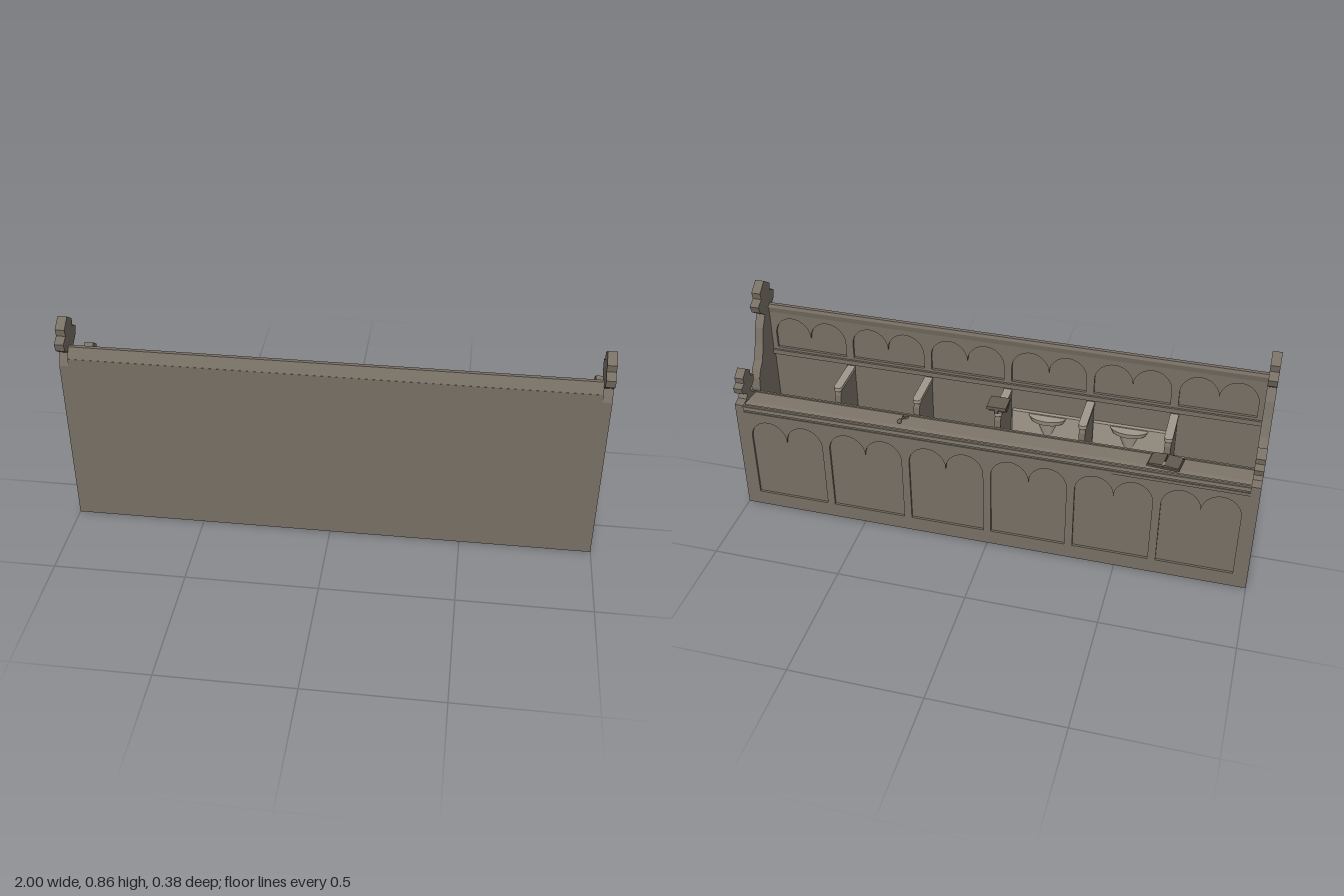
import * as THREE from 'three';

const mat = (name, color) => {
  const m = new THREE.MeshStandardMaterial({ color });
  m.name = name;
  return m;
};

export function createModel() {
  const model = new THREE.Group();
  model.name = 'choirStall';
  const dark = mat('dark oak', 0x776f64);
  const mid = mat('desk oak', 0x82796d);
  const light = mat('light oak', 0xa0978a);
  const leather = mat('dark leather', 0x655d52);

  const add = (name, geo, material, parent = model) => {
    const mesh = new THREE.Mesh(geo, material);
    mesh.name = name;
    parent.add(mesh);
    return mesh;
  };
  // box given by its limits on each axis
  const box = (name, x0, x1, y0, y1, z0, z1, material = dark, parent = model) => {
    const m = add(name, new THREE.BoxGeometry(x1 - x0, y1 - y0, z1 - z0), material, parent);
    m.position.set((x0 + x1) / 2, (y0 + y1) / 2, (z0 + z1) / 2);
    return m;
  };
  // profile of [z, y] points extruded along x
  const profile = (name, pts, x0, x1, material = dark) => {
    const shape = new THREE.Shape(pts.map(p => new THREE.Vector2(p[0], p[1])));
    const geo = new THREE.ExtrudeGeometry(shape, { depth: x1 - x0, bevelEnabled: false });
    geo.rotateY(-Math.PI / 2).translate(x1, 0, 0);
    return add(name, geo, material);
  };

  const bays = [-0.8, -0.48, -0.16, 0.16, 0.48, 0.8];
  const W = 0.966;

  // frame pierced by one twin-arched opening per bay
  const archedFrame = (name, y0, y1, bottom, spring, rise, z0, z1) => {
    const shape = new THREE.Shape([[-W, y0], [W, y0], [W, y1], [-W, y1]].map(p => new THREE.Vector2(...p)));
    const w = 0.145;
    for (const c of bays) {
      const hole = new THREE.Path();
      hole.moveTo(c - w, bottom);
      hole.lineTo(c + w, bottom);
      hole.lineTo(c + w, spring);
      hole.absellipse(c + w / 2, spring, w / 2, rise, 0, Math.PI, false, 0);
      hole.absellipse(c - w / 2, spring, w / 2, rise, 0, Math.PI, false, 0);
      hole.closePath();
      shape.holes.push(hole);
    }
    const geo = new THREE.ExtrudeGeometry(shape, { depth: z1 - z0, bevelEnabled: false, curveSegments: 10 });
    add(name, geo.translate(0, 0, z0), dark);
  };

  // end panels with leaf finials
  const tallEnd = [
    [0.167, 0], [0.167, 0.68], [0.157, 0.702], [0.145, 0.725], [0.182, 0.752], [0.19, 0.783],
    [0.156, 0.8], [0.161, 0.828], [0.116, 0.86], [0.07, 0.828], [0.076, 0.8], [0.041, 0.783],
    [0.053, 0.752], [0.09, 0.725], [0.06, 0.68], [0.044, 0.62], [0.018, 0.555], [-0.008, 0.53],
    [-0.024, 0.502], [-0.03, 0.455], [-0.02, 0.403], [-0.02, 0]];
  const lowEnd = [
    [-0.057, 0], [-0.057, 0.43], [-0.069, 0.475], [-0.098, 0.488], [-0.109, 0.503], [-0.075, 0.525],
    [-0.069, 0.551], [-0.096, 0.561], [-0.091, 0.585], [-0.124, 0.61], [-0.158, 0.585], [-0.154, 0.561],
    [-0.18, 0.551], [-0.173, 0.525], [-0.139, 0.503], [-0.152, 0.488], [-0.185, 0.48], [-0.185, 0]];
  for (const [a, b] of [[-1, -0.965], [0.965, 1]]) {
    profile('stallEnd', tallEnd, a, b);
    profile('deskEnd', lowEnd, a, b);
  }

  // floor and backrest
  box('floor', -W, W, 0, 0.004, -0.18, 0.167);
  box('backBoard', -W, W, 0, 0.71, 0.14, 0.167);
  profile('backTopRail', [[0.167, 0.7], [0.167, 0.708], [0.145, 0.75], [0.13, 0.75], [0.125, 0.738], [0.13, 0.715], [0.145, 0.7]], -W, W);
  archedFrame('backTracery', 0.54, 0.725, 0.556, 0.618, 0.077, 0.13, 0.145);
  box('backMidRail', -W, W, 0.525, 0.545, 0.122, 0.141);

  // seat dividers with armrests
  const divider = [
    [0.14, 0], [0.14, 0.5], [-0.012, 0.5], [-0.026, 0.478], [-0.028, 0.45], [-0.018, 0.42],
    [0.006, 0.39], [0.012, 0.33], [0.002, 0.27], [-0.02, 0.235], [-0.02, 0]];
  for (const x of [-0.645, -0.325, 0, 0.32, 0.64]) {
    profile('seatDivider', divider, x - 0.012, x + 0.012);
    box('armrest', x - 0.016, x + 0.016, 0.498, 0.514, -0.015, 0.135, light);
    const nose = add('armrestNose', new THREE.CylinderGeometry(0.016, 0.016, 0.016, 14), light);
    nose.position.set(x, 0.506, -0.015);
  }
  for (const s of [-1, 1]) box('endBracket', s * 0.955 - 0.011, s * 0.955 + 0.011, 0, 0.235, -0.02, 0.14);

  // seats: two tipped up with a rounded ledge, the rest lowered
  for (const c of bays) {
    if (c === -0.48 || c === -0.16) {
      box('raisedSeat', c - 0.14, c + 0.14, 0.23, 0.425, 0.124, 0.141, light);
      const ledge = add('seatLedge', new THREE.CylinderGeometry(0.075, 0.065, 0.022, 24, 1, false, -Math.PI / 2, Math.PI), light);
      ledge.scale.z = -0.6;
      ledge.geometry.scale(1, 1, -1);
      ledge.geometry.rotateY(Math.PI);
      ledge.scale.z = 0.6;
      ledge.geometry.scale(1, 1, -1);
      // keep winding outward after the mirrored scale
      const ix = ledge.geometry.index.array;
      ledge.geometry.scale(1, 1, 1);
      if (ledge.geometry.attributes.position.getZ(10) > 0) ledge.geometry.rotateY(Math.PI);
      ix.length && ledge.geometry.computeVertexNormals();
      ledge.position.set(c, 0.41, 0.13);
      const bracket = add('ledgeBracket', new THREE.CylinderGeometry(0.045, 0.012, 0.085, 12), light);
      bracket.scale.z = 0.5;
      bracket.position.set(c, 0.358, 0.13);
    } else {
      box('loweredSeat', c - 0.143, c + 0.143, 0.215, 0.235, -0.025, 0.14, light);
    }
  }

  // desk front, mouldings and sloping top
  box('deskBoard', -W, W, 0, 0.46, -0.176, -0.162);
  archedFrame('deskTracery', 0, 0.465, 0.062, 0.335, 0.078, -0.185, -0.175);
  box('deskMoulding', -W, W, 0.44, 0.453, -0.189, -0.18);
  profile('deskTop', [[-0.063, 0.452], [-0.063, 0.466], [-0.15, 0.478], [-0.19, 0.478], [-0.19, 0.462], [-0.15, 0.462]], -W, W, mid);
  box('deskBackRail', -W, W, 0.476, 0.485, -0.186, -0.178, mid);
  box('deskFrontLip', -W, W, 0.455, 0.472, -0.07, -0.062, mid);

  // open book on the desk
  const book = new THREE.Group();
  book.name = 'openBook';
  model.add(book);
  for (const s of [-1, 1]) {
    const cover = box('bookCover', -0.03, 0.03, -0.003, 0.003, -0.045, 0.045, leather, book);
    cover.position.x = s * 0.03;
    const pages = box('bookPages', -0.027, 0.027, 0, 0.009, -0.042, 0.042, leather, book);
    pages.position.x = s * 0.029;
    pages.rotation.z = s * -0.08;
  }
  box('bookRibbon', -0.004, 0.004, 0.008, 0.011, -0.045, -0.015, light, book);
  book.position.set(-0.652, 0.479, -0.12);
  book.rotation.set(0.13, -0.1, 0);

  // closed book resting on the middle armrest
  box('armBookLower', -0.034, 0.034, 0.514, 0.538, -0.02, 0.02, leather);
  box('armBook', -0.037, 0.037, 0.537, 0.55, -0.046, 0.026, leather);
  box('armBookRibbon', -0.006, 0.006, 0.52, 0.538, -0.043, -0.036, leather);

  // small microphone on the desk
  const rod = new THREE.LineCurve3(new THREE.Vector3(0.345, 0.473, -0.08), new THREE.Vector3(0.345, 0.5, -0.15));
  add('microphoneStem', new THREE.TubeGeometry(rod, 1, 0.004, 8), leather);
  add('microphoneHead', new THREE.SphereGeometry(0.01, 12, 8), leather).position.set(0.345, 0.5, -0.155);
  add('microphoneBase', new THREE.CylinderGeometry(0.01, 0.012, 0.008, 12), leather).position.set(0.345, 0.475, -0.085);

  return model;
}
